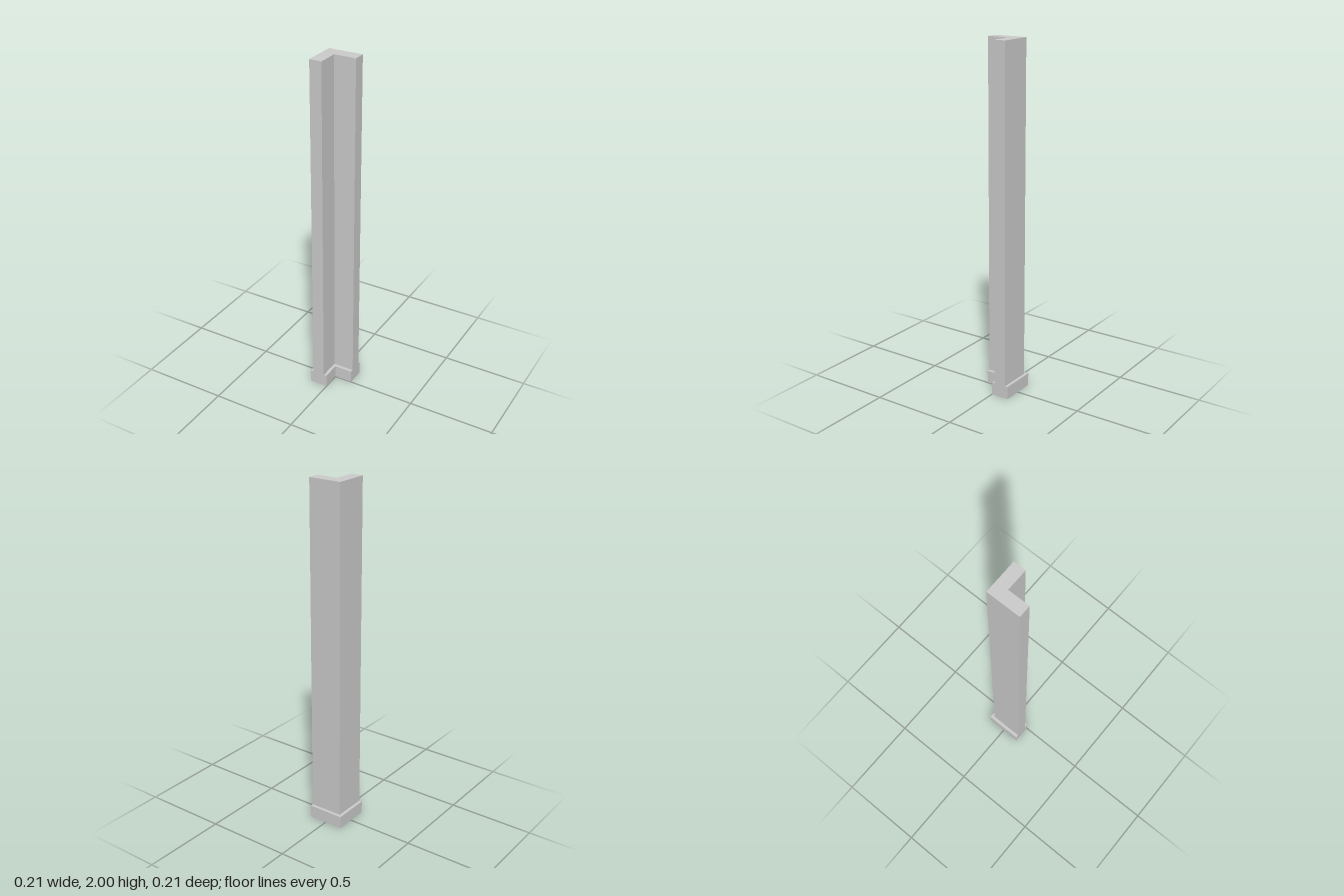
import * as THREE from 'three';

const END = 0.106; // both arms of the L stop flush here

// L-shaped prism: outer and inner are the x = z positions of the two corners
function cornerPrism(name, outer, inner, bottom, top, material) {
  const outline = [
    [outer, outer], [END, outer], [END, inner],
    [inner, inner], [inner, END], [outer, END],
  ];
  const shape = new THREE.Shape(outline.map(([x, z]) => new THREE.Vector2(x, -z)));
  const geometry = new THREE.ExtrudeGeometry(shape, { depth: top - bottom, bevelEnabled: false });
  geometry.rotateX(-Math.PI / 2);
  geometry.translate(0, bottom, 0);
  const mesh = new THREE.Mesh(geometry, material);
  mesh.name = name;
  return mesh;
}

export function createModel() {
  const group = new THREE.Group();
  group.name = 'wallCorner';
  const material = new THREE.MeshStandardMaterial({ color: 0xcccccc });

  // Thicker skirting at the foot, then the tall wall standing on it
  group.add(cornerPrism('baseboard', -0.107, -0.001, 0, 0.075, material));
  group.add(cornerPrism('wall', -0.089, -0.019, 0.075, 2, material));
  return group;
}
